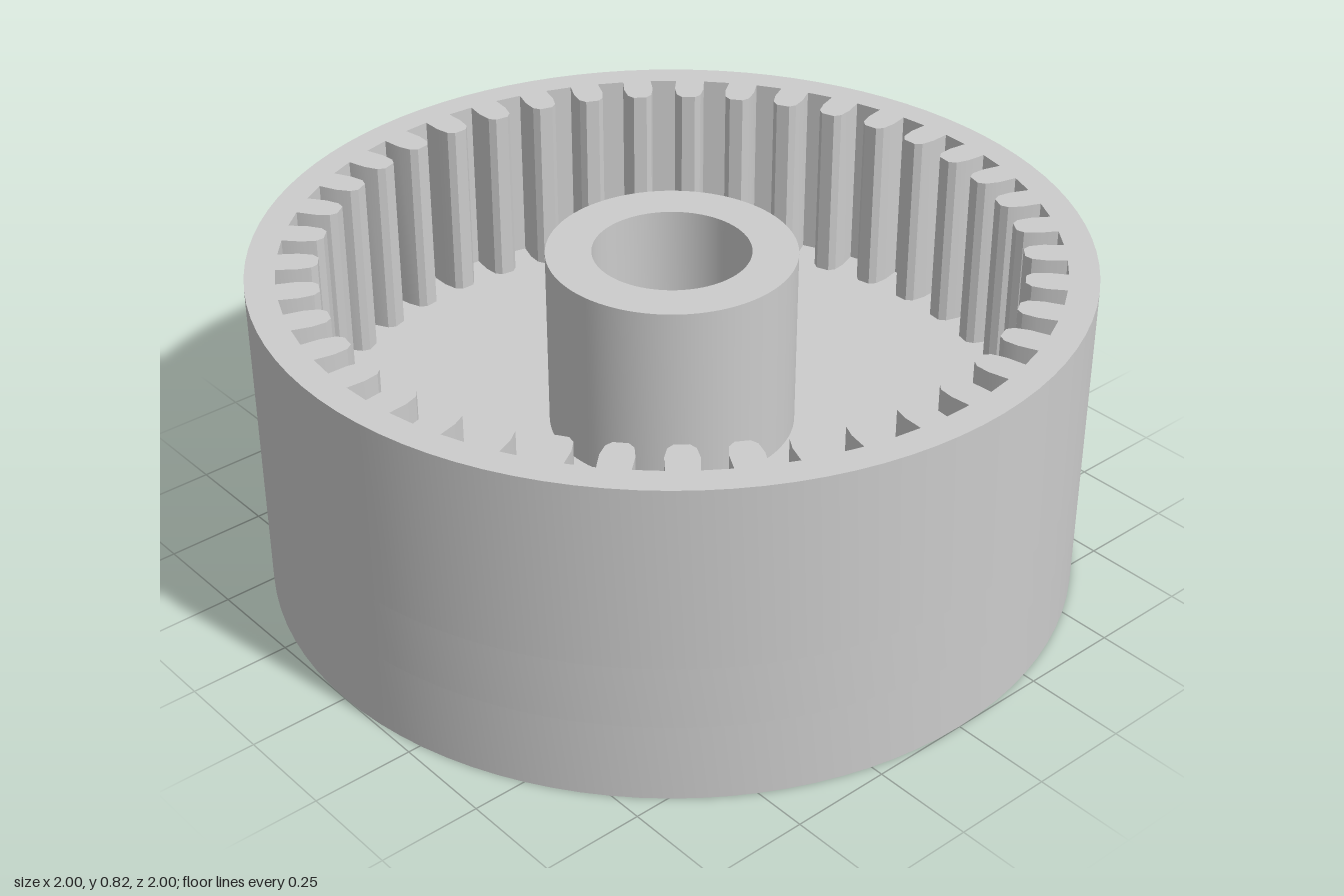
import * as THREE from 'three';
import { toCreasedNormals } from 'three/addons/utils/BufferGeometryUtils.js';

const HEIGHT = 0.82, FLOOR = 0.36, RECESS = 0.2;
const OUTER = 1, BORE = 0.19, HUB = 0.3, COUNTERBORE = 0.385;
const TEETH = 41;

function circle(radius, x = 0, y = 0, Type = THREE.Path) {
  return new Type().absarc(x, y, radius, 0, Math.PI * 2, false);
}

// Closed outline of the toothed opening; teeth point inwards
function gearOutline() {
  const halfTooth = [[0.928, 0.037], [0.88, 0.038], [0.845, 0.031], [0.83, 0.017]];
  const points = [];
  for (let i = 0; i < TEETH; i++) {
    const mid = Math.PI / 2 + (i / TEETH) * Math.PI * 2;
    const add = (r, w) => {
      const a = mid + w / r;
      points.push(new THREE.Vector2(r * Math.cos(a), r * Math.sin(a)));
    };
    halfTooth.forEach(([r, w]) => add(r, -w));
    [...halfTooth].reverse().forEach(([r, w]) => add(r, w));
  }
  return new THREE.Path(points);
}

// Upright slab from y0 to y1 with a round outside and the given holes
function slab(name, radius, holes, y0, y1, material) {
  const shape = circle(radius, 0, 0, THREE.Shape);
  shape.holes.push(...holes);
  const extruded = new THREE.ExtrudeGeometry(shape, {
    depth: y1 - y0, bevelEnabled: false, curveSegments: 48,
  });
  extruded.rotateX(-Math.PI / 2).translate(0, y0, 0);
  const mesh = new THREE.Mesh(toCreasedNormals(extruded, 0.35), material);
  mesh.name = name;
  return mesh;
}

export function createModel() {
  const group = new THREE.Group();
  group.name = 'internalGear';
  const material = new THREE.MeshStandardMaterial({ color: 0xcccccc });

  // Four blind holes around the counterbore, open at the underside
  const blindHoles = [0, 1, 2, 3].map((i) => {
    const a = (i * Math.PI) / 2;
    return circle(0.143, 0.65 * Math.cos(a), 0.65 * Math.sin(a));
  });

  group.add(
    slab('recessedBase', OUTER, [circle(COUNTERBORE), ...blindHoles], 0, RECESS, material),
    slab('floorPlate', OUTER, [circle(BORE)], RECESS, FLOOR, material),
    slab('toothedRing', OUTER, [gearOutline()], FLOOR, HEIGHT, material),
    slab('hub', HUB, [circle(BORE)], FLOOR, HEIGHT, material),
  );
  return group;
}
